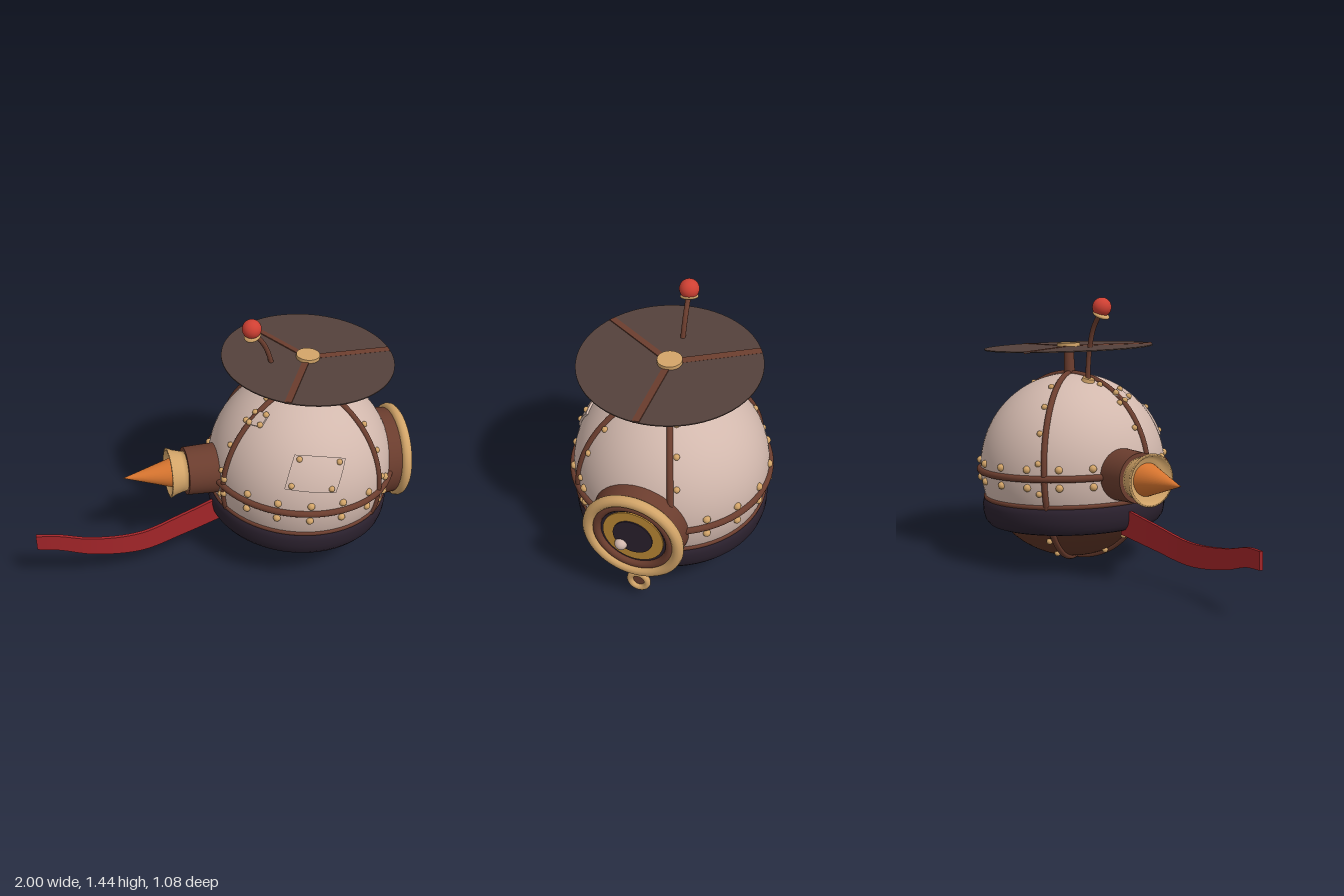
import * as THREE from 'three';

const mat = (name, color, side = THREE.FrontSide) => {
  const m = new THREE.MeshStandardMaterial({ color, side });
  m.name = name;
  return m;
};

export function createModel() {
  const cream = mat('cream plating', 0xd2b8ad);
  const brown = mat('brown metal', 0x6b3d2e);
  const hull = mat('dark brown hull', 0x5f3526);
  const brass = mat('brass', 0xd2a468, THREE.DoubleSide);
  const gold = mat('gold iris', 0xc08c36);
  const plum = mat('dark plum', 0x2b212e);
  const orange = mat('orange', 0xd8752f);
  const red = mat('signal red', 0xcf4033);
  const crimson = mat('scarf crimson', 0xa32529);
  const smoke = mat('rotor brown', 0x54413b);

  const model = new THREE.Group();
  const body = new THREE.Group(); // local +z is forward, pitched slightly down
  body.name = 'body';
  body.position.set(0.38, 0.515, 0.01);
  body.rotation.set(0.05, THREE.MathUtils.degToRad(65), 0, 'YXZ');
  model.add(body);

  const add = (parent, name, geo, material, x = 0, y = 0, z = 0) => {
    const m = new THREE.Mesh(geo, material);
    m.name = name;
    m.position.set(x, y, z);
    parent.add(m);
    return m;
  };
  const deg = THREE.MathUtils.degToRad;
  const ring = (r, t) => new THREE.TorusGeometry(r, t, 12, 72);
  // cylinder along z, r0 at the back and r1 at the front
  const tubeZ = (r0, r1, len) => new THREE.CylinderGeometry(r1, r0, len, 48).rotateX(Math.PI / 2);
  const rivetGeo = new THREE.SphereGeometry(0.02, 12, 8);
  const smallRivetGeo = new THREE.SphereGeometry(0.016, 12, 8);

  // Hull: cream above, brown below the belt
  const split = Math.PI / 2 + 0.4;
  add(body, 'upperShell', new THREE.SphereGeometry(0.5, 64, 40, 0, Math.PI * 2, 0, split), cream);
  add(body, 'lowerShell', new THREE.SphereGeometry(0.496, 64, 24, 0, Math.PI * 2, split - 0.05, Math.PI - split + 0.05), hull);

  // Belt
  const beltProfile = [[0.44, -0.155], [0.478, -0.155], [0.49, -0.165], [0.496, -0.19], [0.494, -0.23],
    [0.484, -0.27], [0.465, -0.295], [0.445, -0.303], [0.38, -0.303]].reverse();
  add(body, 'belt', new THREE.LatheGeometry(beltProfile.map(p => new THREE.Vector2(...p)), 72), plum);
  add(body, 'beltTrim', ring(0.478, 0.012).rotateX(Math.PI / 2), brown, 0, -0.15, 0);

  // Equator ring with two rows of rivets, skipping eye and tail
  add(body, 'equatorRing', ring(0.503, 0.018).rotateX(Math.PI / 2), brown);
  for (let k = 2; k <= 16; k++) {
    if (k === 9) continue;
    const a = deg(20 * k);
    for (const y of [-0.047, 0.047])
      add(body, 'equatorRivet', rivetGeo, brass, -Math.sin(a) * 0.498, y, Math.cos(a) * 0.498);
  }

  // Two crossing hoops with rivets along one side
  for (const d of [-19.5, 49]) {
    const hoop = new THREE.Group();
    hoop.name = 'hoop';
    hoop.rotation.y = deg(-90 - d);
    body.add(hoop);
    add(hoop, 'hoopBand', ring(0.5, 0.016), brown);
    for (let k = 0; k < 20; k++) {
      const a = deg(9 + 18 * k);
      if (Math.abs(Math.cos(a)) < 0.3) continue;
      add(hoop, 'hoopRivet', smallRivetGeo, brass, Math.cos(a) * 0.5, Math.sin(a) * 0.5, -0.032);
    }
  }

  // Eye
  const eye = new THREE.Group();
  eye.name = 'eye';
  eye.position.y = -0.02;
  body.add(eye);
  add(eye, 'eyeHousing', tubeZ(0.252, 0.236, 0.15), brown, 0, 0, 0.46);
  add(eye, 'eyeRim', ring(0.232, 0.029), brass, 0, 0, 0.547);
  add(eye, 'eyeInnerRim', ring(0.19, 0.021), brown, 0, 0, 0.543);
  add(eye, 'eyeSocket', tubeZ(0.18, 0.18, 0.01), plum, 0, 0, 0.536);
  add(eye, 'iris', tubeZ(0.156, 0.156, 0.009), gold, 0, 0, 0.543);
  add(eye, 'pupil', tubeZ(0.102, 0.102, 0.009), plum, 0, 0, 0.549);
  add(eye, 'eyeGlint', new THREE.SphereGeometry(0.032, 20, 14), cream, -0.062, -0.066, 0.553);

  // Speaking pipe under the eye
  const pipe = new THREE.Group();
  pipe.name = 'pipe';
  pipe.position.set(0, -0.39, 0.5);
  pipe.rotation.x = -0.05;
  body.add(pipe);
  add(pipe, 'pipeTube', tubeZ(0.036, 0.036, 0.28), brown, 0, 0, -0.14);
  add(pipe, 'pipeRim', ring(0.046, 0.017), brass);
  const collar = add(pipe, 'pipeCollar', ring(0.042, 0.014), brass, 0, 0, -0.2);
  collar.rotation.x = 0.4;

  // Tail thruster
  add(body, 'tailTube', tubeZ(0.13, 0.138, 0.23), brown, 0, 0, -0.53);
  const bellProfile = [[0, -0.64], [0.108, -0.64], [0.112, -0.67], [0.122, -0.705], [0.136, -0.735],
    [0.122, -0.738], [0.105, -0.705], [0, -0.69]];
  add(body, 'tailBell', new THREE.LatheGeometry(bellProfile.map(([r, z]) => new THREE.Vector2(r, z)), 48).rotateX(Math.PI / 2), brass);
  add(body, 'tailCone', new THREE.ConeGeometry(0.088, 0.29, 40).rotateX(-Math.PI / 2), orange, 0, 0, -0.838);

  // Rotor
  add(body, 'rotorPost', new THREE.CylinderGeometry(0.026, 0.03, 0.17, 24), brown, 0, 0.565, 0);
  add(body, 'rotorDisc', new THREE.CylinderGeometry(0.453, 0.453, 0.006, 72), smoke, 0, 0.642, 0);
  add(body, 'rotorHub', new THREE.CylinderGeometry(0.062, 0.062, 0.028, 32), brass, 0, 0.65, 0);
  for (let k = 0; k < 3; k++) {
    const arm = new THREE.Group();
    arm.name = 'rotorArm';
    arm.position.y = 0.642;
    arm.rotation.y = deg(120 * k);
    body.add(arm);
    add(arm, 'rotorSpar', new THREE.BoxGeometry(0.036, 0.012, 0.43), brown, 0, 0, 0.235).rotation.z = 0.12;
  }

  // Riveted repair patches bent over the shell; a is the bearing, e the elevation
  const patch = (a, e, w, h, shear, roll) => {
    const g = new THREE.Group();
    g.name = 'patch';
    const d = deg(a - 25), c = Math.cos(deg(e));
    g.lookAt(-Math.sin(d) * c, Math.sin(deg(e)), Math.cos(d) * c);
    g.rotateZ(roll);
    body.add(g);
    const bend = (x, y, r) => new THREE.Vector3(x + shear * y, y, 0.5).setLength(r);
    const geo = new THREE.BoxGeometry(w, h, 0.02, 10, 10, 1);
    const pos = geo.attributes.position;
    for (let i = 0; i < pos.count; i++) {
      const p = bend(pos.getX(i), pos.getY(i), 0.501 + pos.getZ(i));
      pos.setXYZ(i, p.x, p.y, p.z);
    }
    geo.computeVertexNormals();
    add(g, 'patchPlate', geo, cream);
    for (const sx of [-0.38, 0.38]) for (const sy of [-0.38, 0.38])
      add(g, 'patchRivet', smallRivetGeo, brass).position.copy(bend(sx * w, sy * h, 0.512));
  };
  patch(123, 26, 0.28, 0.19, 0.2, -0.1);
  patch(180, 50, 0.09, 0.08, 0.15, 0.3);

  // Antenna
  const V = (x, y, z) => new THREE.Vector3(x, y, z);
  const stem = new THREE.CatmullRomCurve3([V(0.24, 0.96, -0.05), V(0.24, 1.04, -0.05), V(0.23, 1.14, -0.054),
    V(0.195, 1.265, -0.07), V(0.135, 1.36, -0.092)]);
  add(model, 'antennaStem', new THREE.TubeGeometry(stem, 32, 0.013, 12), brown);
  add(model, 'antennaBase', new THREE.CylinderGeometry(0.032, 0.038, 0.03, 24), brass, 0.24, 0.99, -0.05).rotation.z = 0.28;
  add(model, 'antennaCollar', new THREE.SphereGeometry(0.046, 24, 12).scale(1, 0.35, 1), brass, 0.13, 1.345, -0.095).rotation.z = 0.4;
  add(model, 'antennaBall', new THREE.SphereGeometry(0.05, 32, 20), red, 0.125, 1.386, -0.095);

  // Scarf: a ribbon swept along a curve, narrowing to its tip
  const path = new THREE.CatmullRomCurve3([V(-0.03, 0.285, -0.155), V(-0.26, 0.24, -0.215), V(-0.5, 0.2, -0.285),
    V(-0.74, 0.232, -0.385), V(-0.9, 0.285, -0.475), V(-0.995, 0.297, -0.538)]);
  const scarf = new THREE.BoxGeometry(1, 2, 0.018, 48, 4, 1);
  const sp = scarf.attributes.position;
  for (let i = 0; i < sp.count; i++) {
    const t = 0.5 - sp.getX(i);
    const p = path.getPointAt(t), tan = path.getTangentAt(t);
    const side = V(tan.z, 0, -tan.x).normalize();
    p.addScaledVector(side, sp.getZ(i));
    sp.setXYZ(i, p.x, p.y + sp.getY(i) * (0.073 - 0.028 * t), p.z);
  }
  scarf.computeVertexNormals();
  crimson.side = THREE.DoubleSide;
  add(model, 'scarf', scarf, crimson);

  return model;
}
